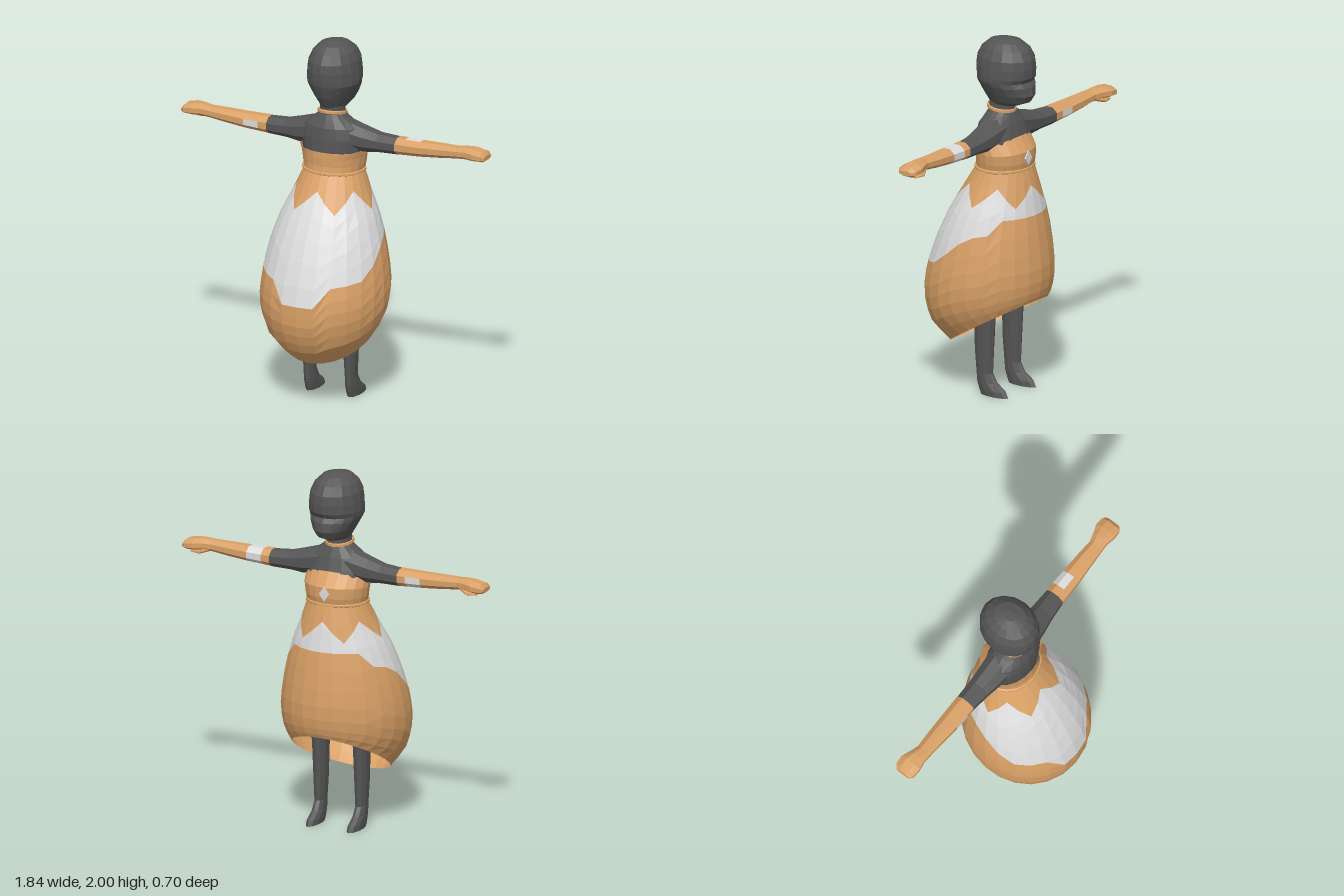
import * as THREE from 'three';

const material = (name, color) => {
  const m = new THREE.MeshStandardMaterial({ color, side: THREE.DoubleSide });
  m.name = name;
  return m;
};

// Ring around the vertical axis; (zA,yA) is its +z point, (zB,yB) its -z point, w its half width
function ring(zA, yA, zB, yB, w, n, x0 = 0, power = 1) {
  return Array.from({ length: n }, (_, j) => {
    const a = (j / n) * Math.PI * 2;
    const t = (1 - Math.cos(a)) / 2;
    return new THREE.Vector3(
      x0 + w * Math.sin(a),
      THREE.MathUtils.lerp(yA, yB, Math.pow(t, power)),
      THREE.MathUtils.lerp(zA, zB, t));
  });
}

// Level rings from rows of [y, zBack, zFront, halfWidth]
const levels = (rows, n, x0 = 0) => rows.map(([y, a, b, w]) => ring(a, y, b, y, w, n, x0));

// Ring around the sideways axis, used for arms; side is +1 or -1
function armRing([x, y, z, hy, hz], side, n = 8) {
  return Array.from({ length: n }, (_, j) => {
    const a = ((j + 0.5) / n) * Math.PI * 2;
    return new THREE.Vector3(side * x, y + side * hy * Math.sin(a), z + hz * Math.cos(a));
  });
}

// Faceted skin through a list of rings
function loft(name, mat, rings, { caps = false, keep = () => true } = {}) {
  const p = [];
  const tri = (...v) => v.forEach((q) => p.push(q.x, q.y, q.z));
  const n = rings[0].length;
  for (let i = 0; i < rings.length - 1; i++) {
    for (let j = 0; j < n; j++) {
      if (!keep(i, j)) continue;
      const k = (j + 1) % n;
      const a = rings[i][j], b = rings[i][k], c = rings[i + 1][j], d = rings[i + 1][k];
      tri(a, c, b);
      tri(b, c, d);
    }
  }
  if (caps) {
    [rings[0], rings[rings.length - 1]].forEach((r, end) => {
      const mid = r.reduce((s, q) => s.add(q), new THREE.Vector3()).divideScalar(n);
      for (let j = 0; j < n; j++) {
        const k = (j + 1) % n;
        end ? tri(mid, r[k], r[j]) : tri(mid, r[j], r[k]);
      }
    });
  }
  const g = new THREE.BufferGeometry();
  g.setAttribute('position', new THREE.Float32BufferAttribute(p, 3));
  g.computeVertexNormals();
  const mesh = new THREE.Mesh(g, mat);
  mesh.name = name;
  return mesh;
}

export function createModel() {
  const tan = material('tan cloth', 0xd9a066);
  const dark = material('charcoal skin', 0x555555);
  const white = material('pale pattern', 0xdddddd);
  const model = new THREE.Group();
  model.name = 'figure in balloon dress';

  // Skirt: rings that tilt more and more down to the slanted hem
  const N = 24;
  const skirt = [
    [.05, 1.28, -.255, 1.28, .165], [.13, 1.15, -.285, 1.16, .215],
    [.20, 1.03, -.305, 1.05, .27], [.27, .88, -.325, .93, .315],
    [.325, .73, -.342, .80, .345], [.358, .60, -.35, .70, .358],
    [.355, .47, -.343, .62, .352], [.31, .345, -.332, .575, .325],
    [.20, .245, -.32, .55, .27],
  ].map((r) => ring(...r, N));
  const skirtPoint = (v, j) => {
    const i = Math.min(Math.floor(v), skirt.length - 2);
    return skirt[i][j].clone().lerp(skirt[i + 1][j], v - i);
  };
  const findV = (y, j) => {
    let lo = 0, hi = skirt.length - 1;
    for (let s = 0; s < 30; s++) {
      const m = (lo + hi) / 2;
      skirtPoint(m, j).y > y ? (lo = m) : (hi = m);
    }
    return lo;
  };
  // Pattern borders: six-point zigzag above, stepped edge below
  const lowEdge = [.61, .61, .72, .73, .745, .81, .89, .935, .95, 1.03, 1.03, 1.03, 1.03];
  const zigzag = (j) => findV(1.195 - .055 * (2 - Math.abs((j % 4) - 2)), j);
  const stepped = (j) => findV(lowEdge[Math.min(j, N - j)], j);
  const band = (name, mat, from, to, rows) => {
    const rings = [];
    for (let i = 0; i <= rows; i++) {
      rings.push(Array.from({ length: N }, (_, j) =>
        skirtPoint(THREE.MathUtils.lerp(from(j), to(j), i / rows), j)));
    }
    model.add(loft(name, mat, rings));
  };
  band('skirtTop', tan, () => 0, zigzag, 2);
  band('skirtPattern', white, zigzag, stepped, 5);
  band('skirtBottom', tan, stepped, () => 8, 7);

  // Bodice with a raised chest edge, and its waist seam
  model.add(loft('bodice', tan, [
    ring(.045, 1.40, -.205, 1.46, .188, 20, 0, 2),
    ring(.046, 1.36, -.257, 1.38, .185, 20),
    ring(.045, 1.32, -.257, 1.32, .178, 20),
    ring(.05, 1.285, -.25, 1.285, .17, 20),
  ]));
  model.add(loft('waistSeam', tan, levels([
    [1.29, .046, -.25, .17], [1.285, .058, -.256, .179],
    [1.275, .058, -.256, .179], [1.27, .05, -.253, .168]], 20)));

  // Chest diamond
  const d = new THREE.Shape([[0, .042], [-.03, 0], [0, -.042], [.03, 0]]
    .map(([x, y]) => new THREE.Vector2(x, y)));
  const diamond = new THREE.Mesh(
    new THREE.ExtrudeGeometry(d, { depth: .007, bevelEnabled: false }), white);
  diamond.name = 'chestDiamond';
  diamond.position.set(0, 1.345, -.261);
  model.add(diamond);

  // Torso and neck
  model.add(loft('torso', dark, levels([
    [1.66, -.01, -.15, .068], [1.60, -.012, -.152, .07], [1.575, 0, -.162, .1],
    [1.53, .02, -.18, .165], [1.47, .03, -.2, .185], [1.40, .035, -.225, .178],
    [1.28, .03, -.235, .15]], 16), { caps: true }));
  model.add(loft('collar', tan, [
    ring(-.005, 1.628, -.155, 1.604, .074, 16), ring(.002, 1.624, -.16, 1.6, .08, 16),
    ring(.002, 1.61, -.16, 1.586, .08, 16), ring(-.005, 1.606, -.155, 1.582, .074, 16)]));

  // Head with a brow, a set-back eye line and a muzzle
  model.add(loft('head', dark, levels([
    [2.0, -.07, -.14, .03], [1.985, -.01, -.2, .08], [1.95, .032, -.25, .115],
    [1.9, .058, -.277, .138], [1.85, .065, -.283, .145], [1.8, .062, -.28, .148],
    [1.775, .058, -.264, .146], [1.75, .05, -.281, .136], [1.70, .03, -.286, .11],
    [1.66, .005, -.262, .088], [1.635, -.012, -.2, .07]], 16), { caps: true }));

  const upperArm = [[.08, 1.49, -.09, .085, .09], [.2, 1.468, -.095, .07, .076],
    [.28, 1.461, -.1, .054, .066], [.39, 1.458, -.105, .049, .058]];
  const sleeve = [[.39, 1.46, -.105, .05, .06], [.44, 1.461, -.105, .048, .059],
    [.53, 1.463, -.105, .045, .057], [.65, 1.469, -.107, .04, .051],
    [.75, 1.475, -.107, .034, .045], [.8, 1.478, -.115, .036, .052],
    [.85, 1.476, -.12, .036, .068], [.9, 1.471, -.12, .03, .064], [.92, 1.466, -.12, .014, .045]];
  const thumb = [[.76, 1.46, -.125, .014, .02], [.82, 1.44, -.14, .013, .034],
    [.87, 1.437, -.14, .006, .018]];
  // Sleeve patch faces: top and front on the left, front and underside on the right
  const patches = { 1: [1, 2, 3, 4], '-1': [2, 3, 7] };

  const legRows = [[1.1, 0, -.17, .07], [.6, .01, -.14, .055], [.45, .01, -.125, .044],
    [.25, .005, -.115, .037], [.12, -.005, -.11, .03], [.07, -.008, -.14, .032],
    [.03, -.018, -.2, .034], [0, -.03, -.215, .033]];

  for (const side of [1, -1]) {
    const label = side > 0 ? 'left' : 'right';
    const rings = (rows) => rows.map((r) => armRing(r, side));
    const isPatch = (i, j) => i === 1 && patches[side].includes(j);
    model.add(
      loft(label + 'UpperArm', dark, rings(upperArm), { caps: true }),
      loft(label + 'Sleeve', tan, rings(sleeve), { caps: true, keep: (i, j) => !isPatch(i, j) }),
      loft(label + 'SleevePatch', white, rings(sleeve), { keep: isPatch }),
      loft(label + 'Thumb', tan, rings(thumb), { caps: true }),
      loft(label + 'Leg', dark, levels(legRows, 10, side * .125), { caps: true }));
  }
  return model;
}
